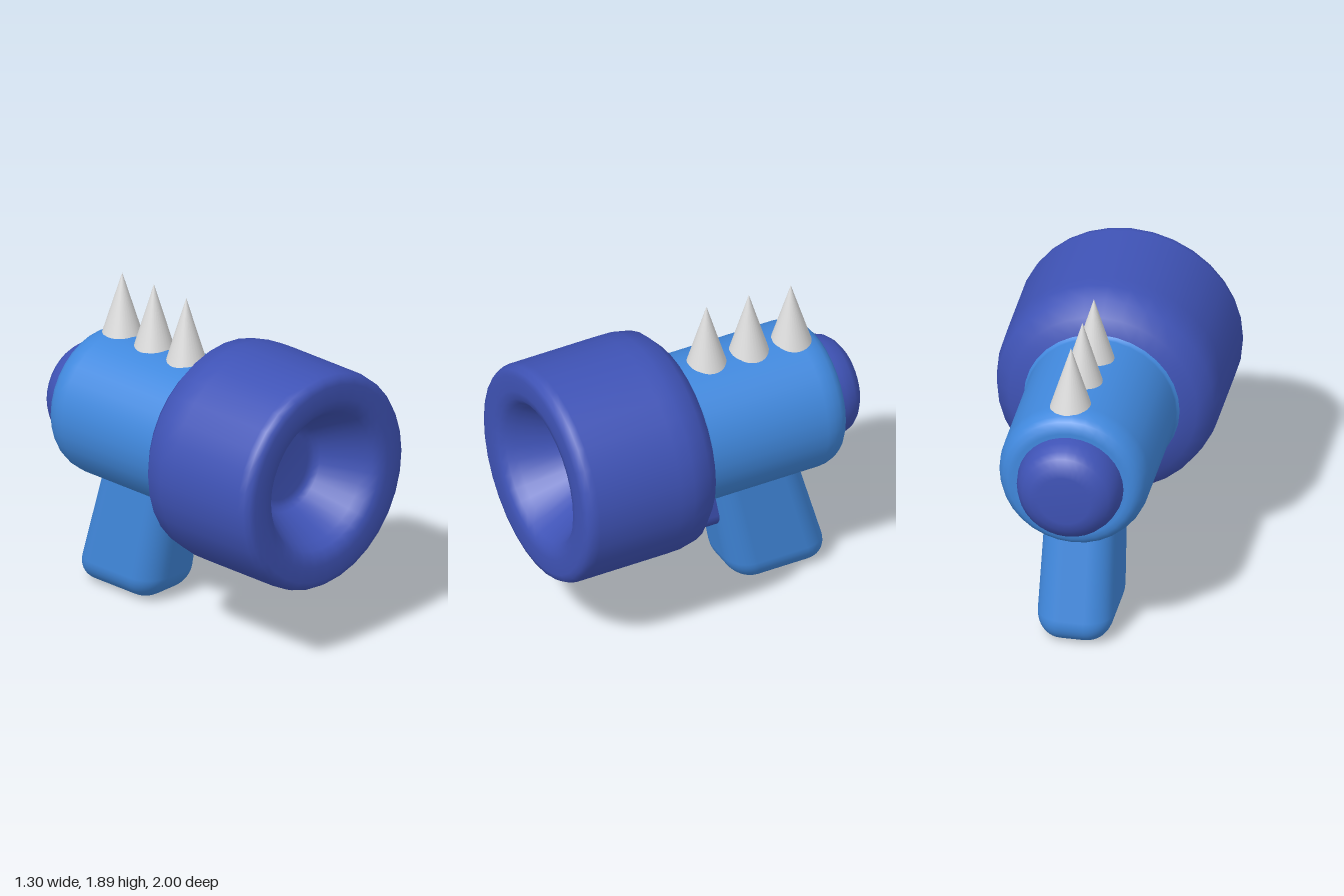
import * as THREE from 'three';
import { RoundedBoxGeometry } from 'three/addons/geometries/RoundedBoxGeometry.js';

const AXIS_Y = 1.08; // height of the barrel axis

const material = (name, color) => {
  const m = new THREE.MeshStandardMaterial({ color });
  m.name = name;
  return m;
};

// Lathe around the z axis; profile is [radius, z] ordered from back to front
function turned(profile) {
  const points = profile.map(([r, z]) => new THREE.Vector2(r, z));
  return new THREE.LatheGeometry(points, 32).rotateX(Math.PI / 2).translate(0, AXIS_Y, 0);
}

export function createModel() {
  const group = new THREE.Group();
  const indigo = material('indigo', 0x3f53b6);
  const skyBlue = material('sky blue', 0x4189de);
  const spikeGrey = material('spike grey', 0xdcdcdc);

  const add = (name, geometry, mat) => {
    const mesh = new THREE.Mesh(geometry, mat);
    mesh.name = name;
    group.add(mesh);
    return mesh;
  };

  // Wide muzzle with a rounded shoulder, soft rim and funnel-shaped bore
  add('muzzle', turned([
    [0.42, 0.08], [0.45, 0.095], [0.545, 0.123], [0.625, 0.198], [0.648, 0.31], [0.65, 0.4],
    [0.65, 0.92], [0.643, 0.96], [0.625, 0.988], [0.59, 1], [0.5, 1], [0.45, 0.99],
    [0.415, 0.96], [0.385, 0.91], [0.26, 0.7], [0.235, 0.675], [0.2, 0.66], [0, 0.66],
  ]), indigo);

  // Body with rounded rear edge
  add('body', turned([
    [0, -0.81], [0.33, -0.81], [0.365, -0.808], [0.395, -0.785], [0.415, -0.755],
    [0.43, -0.71], [0.435, -0.66], [0.435, 0.07], [0.44, 0.085], [0.455, 0.1],
  ]), skyBlue);

  // Domed cap on the back
  add('rearCap', turned([
    [0, -1], [0.15, -1], [0.205, -0.985], [0.25, -0.955], [0.28, -0.92],
    [0.3, -0.86], [0.308, -0.8], [0.308, -0.75],
  ]), indigo);

  // Raked grip, sheared backwards and slightly tapered
  const grip = new RoundedBoxGeometry(0.44, 0.95, 0.615, 5, 0.15).translate(0, 0.475, 0);
  const p = grip.attributes.position;
  const n = grip.attributes.normal;
  const rake = 0.235;
  for (let i = 0; i < p.count; i++) {
    const y = p.getY(i);
    p.setX(i, p.getX(i) * (1.01 - 0.1 * y));
    p.setZ(i, p.getZ(i) * (1.02 - 0.15 * y) - 0.518 + rake * y);
    const normal = new THREE.Vector3(n.getX(i), n.getY(i) - rake * n.getZ(i), n.getZ(i)).normalize();
    n.setXYZ(i, normal.x, normal.y, normal.z);
  }
  add('grip', grip, skyBlue);

  // Trigger in front of the grip
  add('trigger', new RoundedBoxGeometry(0.25, 0.42, 0.32, 4, 0.11).translate(0, 0.595, -0.1), indigo);

  // Row of spikes along the top
  [[0.005, -0.105, 1.888], [0.018, -0.37, 1.888], [0.032, -0.632, 1.874]].forEach(([x, z, tip], i) => {
    const height = tip - 1.48;
    add('spike' + (i + 1), new THREE.ConeGeometry(0.122, height, 32).translate(x, tip - height / 2, z), spikeGrey);
  });

  return group;
}
